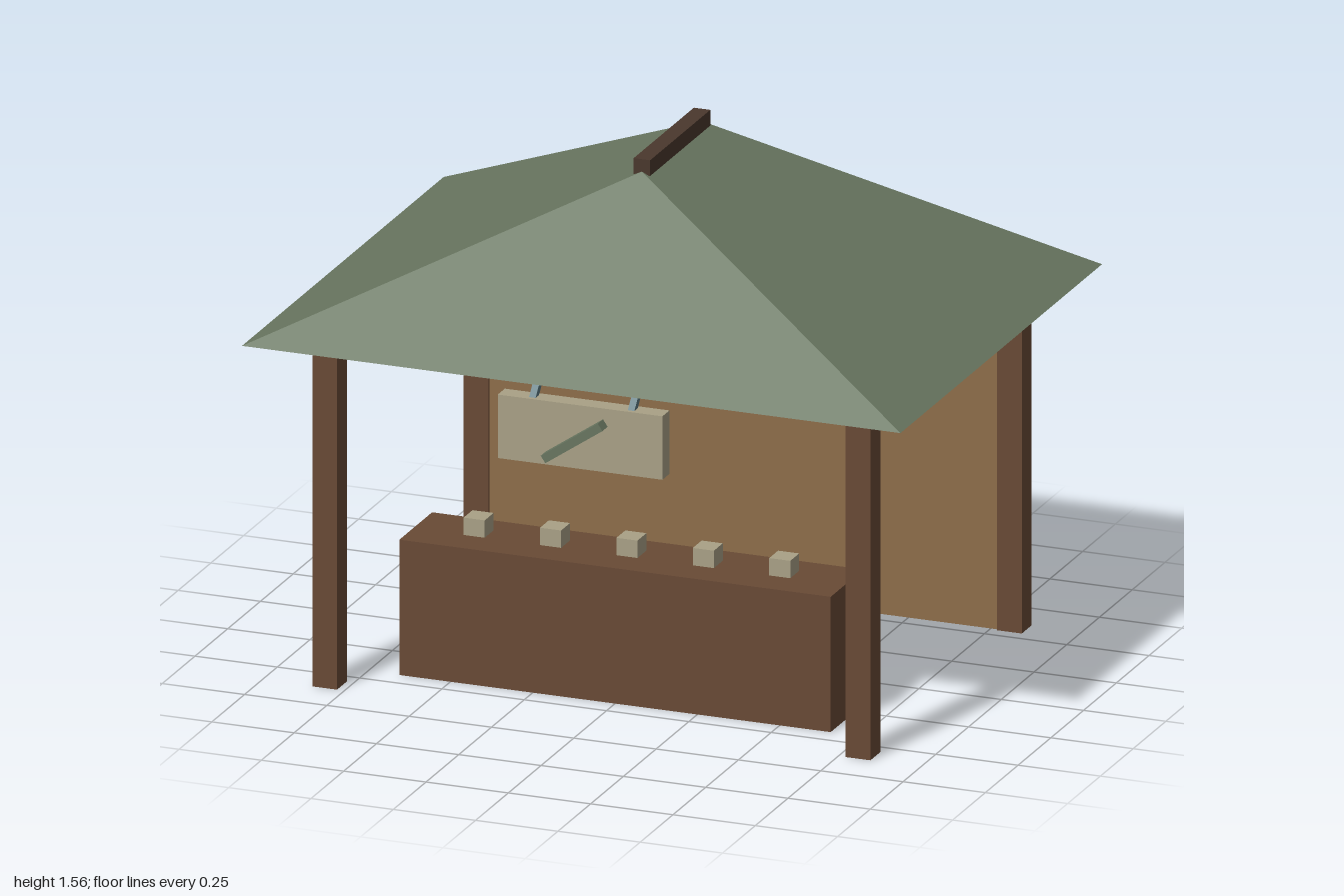
import * as THREE from 'three';

const mat = (name, color) => {
  const m = new THREE.MeshStandardMaterial({ color });
  m.name = name;
  return m;
};

export function createModel() {
  const wood = mat('brown wood', 0x694a35);
  const darkWood = mat('dark ridge wood', 0x4a382d);
  const plank = mat('tan plank', 0x8d6d4a);
  const cream = mat('cream', 0xa9a186);
  const green = mat('roof green', 0x687660);
  const glass = mat('blue grey glass', 0x5c7a82);

  const root = new THREE.Group();
  root.name = 'marketStall';

  // Box given by its extents on each axis
  function box(name, material, [x0, x1], [y0, y1], [z0, z1], parent = root) {
    const mesh = new THREE.Mesh(new THREE.BoxGeometry(x1 - x0, y1 - y0, z1 - z0), material);
    mesh.position.set((x0 + x1) / 2, (y0 + y1) / 2, (z0 + z1) / 2);
    mesh.name = name;
    parent.add(mesh);
    return mesh;
  }

  // Hip roof: a box whose top is pulled in to the ridge line
  const roofGeo = new THREE.BoxGeometry(2, 0.475, 1.54).toNonIndexed();
  const p = roofGeo.attributes.position;
  for (let i = 0; i < p.count; i++) {
    if (p.getY(i) > 0) p.setXYZ(i, 0, p.getY(i), Math.sign(p.getZ(i)) * 0.23);
  }
  roofGeo.computeVertexNormals();
  const roof = new THREE.Mesh(roofGeo, green);
  roof.position.y = 1.05 + 0.475 / 2;
  roof.name = 'roof';
  root.add(roof);
  box('ridgeBeam', darkWood, [-0.025, 0.025], [1.515, 1.562], [-0.23, 0.23]);

  // Corner posts
  for (const sx of [-1, 1]) {
    for (const sz of [-1, 1]) {
      const post = box('post', wood, [-0.0375, 0.0375], [0, 1.04], [-0.0375, 0.0375]);
      post.position.x = sx * 0.81;
      post.position.z = sz * 0.578;
    }
  }

  // Back wall
  box('backWall', plank, [-0.79, 0.79], [0, 0.85], [-0.608, -0.548]);

  // Counter with small goods on top
  box('counter', wood, [-0.655, 0.655], [0, 0.405], [0.185, 0.435]);
  for (let i = -2; i <= 2; i++) {
    const x = i * 0.232;
    box('goodsBlock', cream, [x - 0.032, x + 0.032], [0.41, 0.462], [0.276, 0.344]);
  }

  // Hanging sign with a diagonal batten and two slanted hangers
  box('sign', cream, [-0.25, 0.25], [0.79, 0.98], [0.648, 0.702]);
  const batten = box('signBatten', green, [-0.105, 0.105], [-0.0125, 0.0125], [0.7, 0.742]);
  batten.position.x = -0.01;
  batten.position.y = 0.878;
  batten.rotation.z = 0.6;
  for (const x of [-0.15, 0.15]) {
    const hanger = box('signHanger', glass, [x - 0.01, x + 0.01], [-0.06, 0.06], [-0.01, 0.01]);
    hanger.position.set(x, 1.015, 0.647);
    hanger.rotation.x = -0.7;
  }

  // Windows on the outside of the back wall
  for (const x of [-0.42, 0.42]) {
    const win = new THREE.Group();
    win.name = 'window';
    win.position.x = x;
    root.add(win);
    const depth = [-0.675, -0.635];
    box('pane', glass, [-0.16, 0.16], [0.397, 0.645], [-0.648, -0.622], win);
    box('head', cream, [-0.195, 0.195], [0.645, 0.682], depth, win);
    box('bottomRail', cream, [-0.185, 0.185], [0.375, 0.4], depth, win);
    for (const s of [-1, 1]) {
      const jamb = box('jamb', cream, [-0.0175, 0.0175], [0.375, 0.645], depth, win);
      jamb.position.x = s * 0.168;
    }
    box('uprightBar', cream, [-0.0125, 0.0125], [0.4, 0.645], [-0.678, -0.645], win);
    box('crossBar', cream, [-0.15, 0.15], [0.51, 0.535], [-0.676, -0.645], win);
    box('sill', plank, [-0.208, 0.208], [0.347, 0.376], [-0.728, -0.626], win);
  }

  return root;
}
